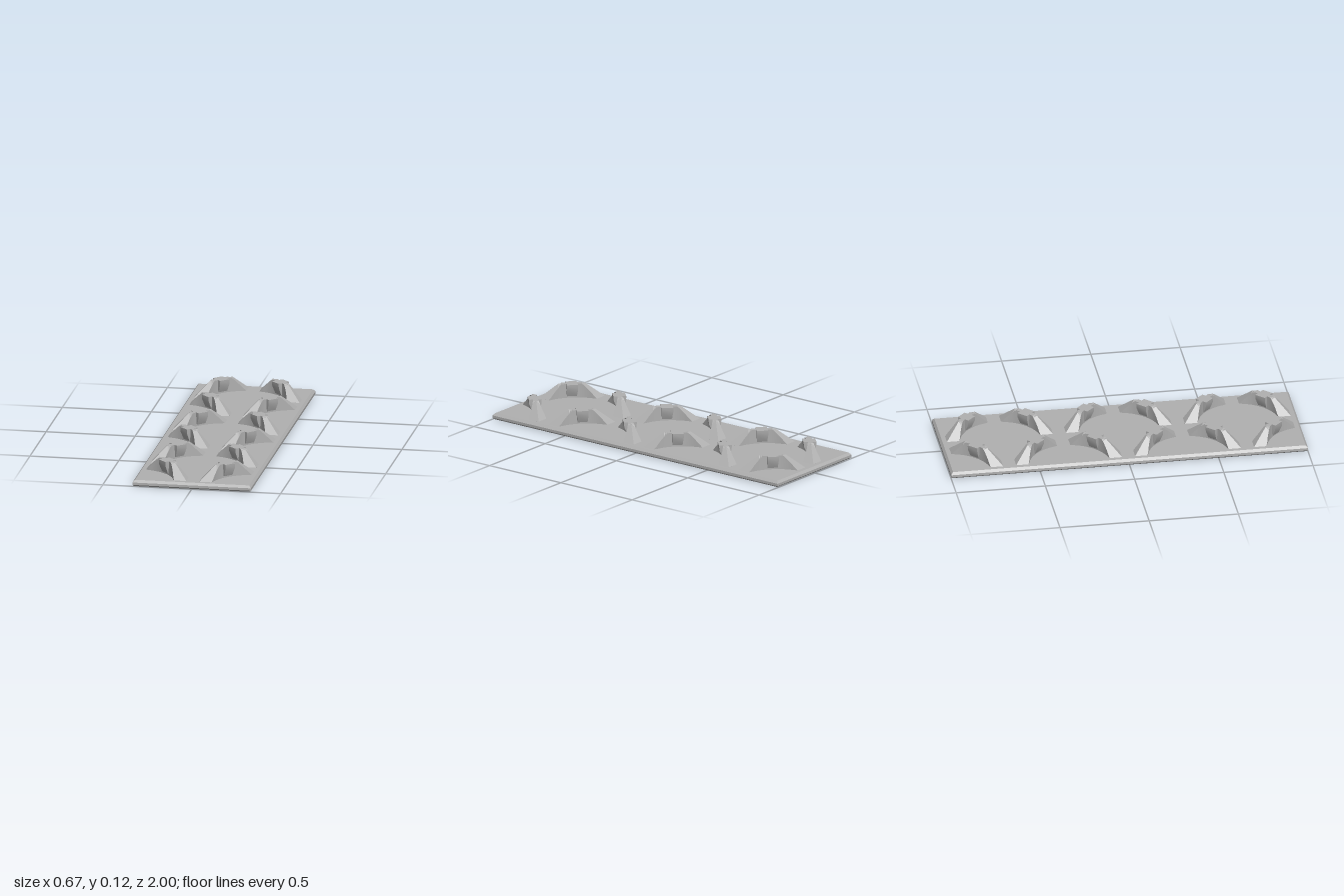
import * as THREE from 'three';
import { toCreasedNormals } from 'three/addons/utils/BufferGeometryUtils.js';

// Solid from matching rings, each counterclockwise seen from the end of the path
function loft(rings) {
  const pos = [];
  const tri = (a, b, c) => pos.push(...a, ...b, ...c);
  const n = rings[0].length;
  for (let i = 0; i < rings.length - 1; i++) {
    const a = rings[i], b = rings[i + 1];
    for (let j = 0; j < n; j++) {
      const k = (j + 1) % n;
      tri(a[j], a[k], b[j]);
      tri(a[k], b[k], b[j]);
    }
  }
  const first = rings[0], last = rings[rings.length - 1];
  for (let j = 1; j < n - 1; j++) {
    tri(first[0], first[j + 1], first[j]);
    tri(last[0], last[j], last[j + 1]);
  }
  const g = new THREE.BufferGeometry();
  g.setAttribute('position', new THREE.Float32BufferAttribute(pos, 3));
  return toCreasedNormals(g, 0.4);
}

const rect = (hx, hz, y) => [[hx, y, hz], [hx, y, -hz], [-hx, y, -hz], [-hx, y, hz]];

const BASE = 0.035, TOP = 0.115;

// Pyramid-shaped limit on the bracket height
const height = (u, v) =>
  Math.max(BASE, Math.min(TOP, BASE + (0.13 - (Math.abs(u) + Math.abs(v)) / Math.SQRT2) * 1.04));

// Half thickness: hollowed by a round scoop on each side, pointed at the ends
const halfWidth = u => {
  const arc = 0.245 - Math.sqrt(0.235 * 0.235 - u * u);
  return Math.max(0.0005, Math.min(arc, 0.1838 - Math.abs(u)));
};

function bracketGeometry() {
  const half = [0.015, 0.03, 0.045, 0.055, 0.065, 0.075, 0.09, 0.105, 0.12, 0.135, 0.183];
  const stations = [...half.map(u => -u).reverse(), 0, ...half];
  return loft(stations.map(u => {
    const w = halfWidth(u), side = height(u, w);
    return [
      [u, BASE - 0.005, -w], [u, side, -w], [u, height(u, 0), 0], [u, side, w], [u, BASE - 0.005, w],
    ];
  }));
}

export function createModel() {
  const model = new THREE.Group();
  const grey = new THREE.MeshStandardMaterial({ color: 0xb0b0b0 });
  grey.name = 'grey';

  // Base plate with chamfered rims
  const plate = new THREE.Mesh(loft([
    rect(0.325, 0.992, 0), rect(0.333, 1, 0.008), rect(0.333, 1, 0.022), rect(0.321, 0.988, BASE),
  ]), grey);
  plate.name = 'basePlate';
  model.add(plate);

  const wallGeo = bracketGeometry();
  // Central lug, wide at the top and drawn in below
  const lugGeo = loft([
    rect(0.028, 0.016, 0.045), rect(0.032, 0.034, 0.088), rect(0.032, 0.036, TOP),
  ]);

  // Four brackets round each of three square cells
  for (const cell of [-2 / 3, 0, 2 / 3]) {
    for (const sx of [-1, 1]) {
      for (const sz of [-1, 1]) {
        const bracket = new THREE.Group();
        bracket.name = 'bracket';
        const wall = new THREE.Mesh(wallGeo, grey);
        wall.name = 'bracketWall';
        const lug = new THREE.Mesh(lugGeo, grey);
        lug.name = 'bracketLug';
        bracket.add(wall, lug);
        bracket.position.set(sx / 6, 0, cell + sz / 6);
        bracket.rotation.y = sx * sz * Math.PI / 4;
        model.add(bracket);
      }
    }
  }
  return model;
}
